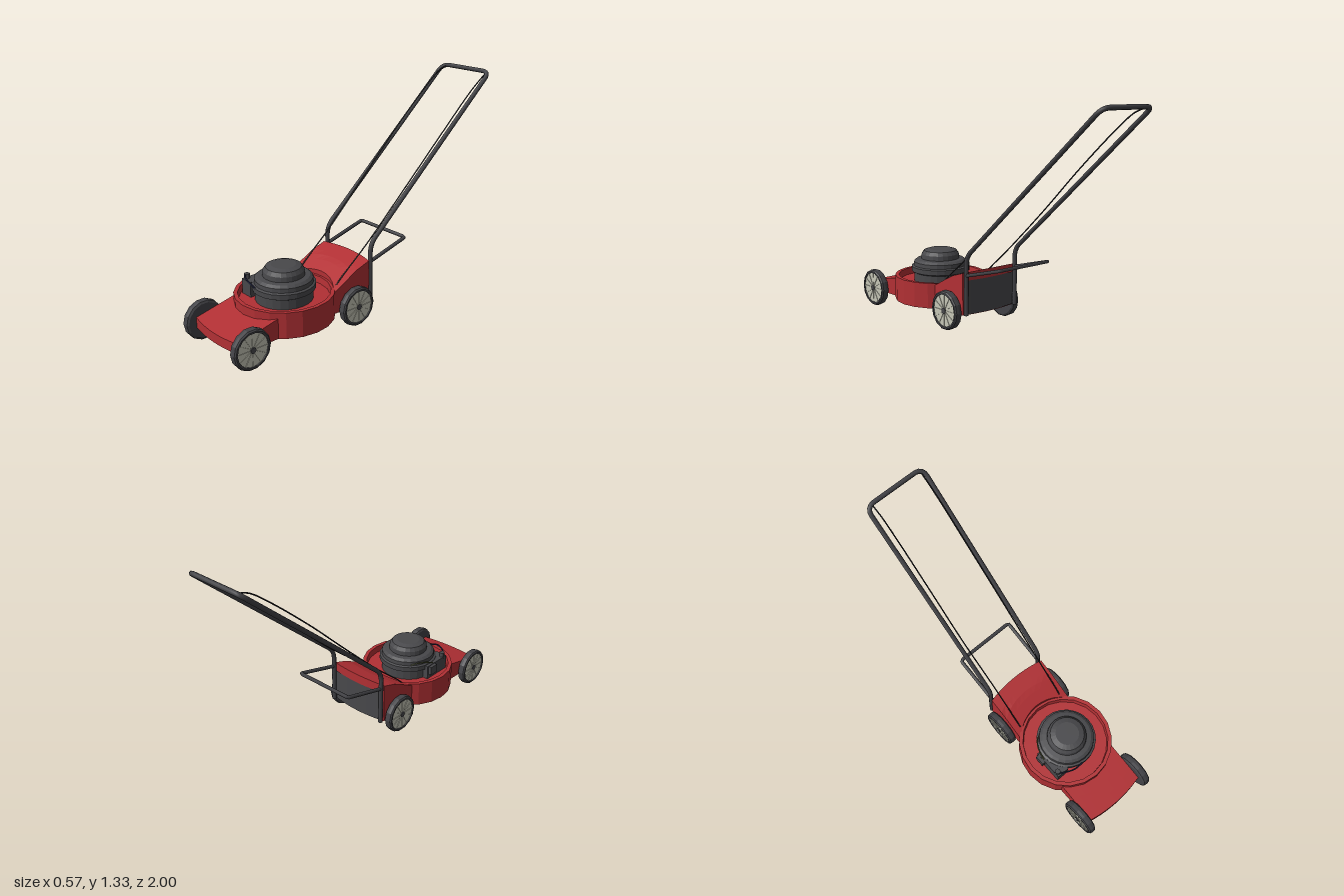
import * as THREE from 'three';

const mat = (name, color, flat = true) => {
  const m = new THREE.MeshStandardMaterial({ color, flatShading: flat, side: THREE.DoubleSide });
  m.name = name;
  return m;
};

export function createModel() {
  const red = mat('red paint', 0xb23034);
  const grey = mat('dark grey metal', 0x48484b);
  const rubber = mat('tyre rubber', 0x434347);
  const tubeGrey = mat('handle grey', 0x424246, false);
  const cream = mat('cream wheel', 0xc6c6b6);
  const black = mat('black cable', 0x222224, false);
  const navy = mat('navy wire', 0x20243f, false);
  const olive = mat('olive wire', 0x5a6038, false);

  const model = new THREE.Group();
  model.name = 'lawnMower';
  const add = (name, geo, m, x = 0, y = 0, z = 0, parent = model) => {
    const mesh = new THREE.Mesh(geo, m);
    mesh.name = name;
    mesh.position.set(x, y, z);
    parent.add(mesh);
    return mesh;
  };
  const v = (p) => new THREE.Vector3(...p);
  const lathe = (pts, n) => new THREE.LatheGeometry(pts.map((p) => new THREE.Vector2(...p)), n);
  const box = (x, y, z) => new THREE.BoxGeometry(x, y, z);

  // Tube along a polyline with rounded corners
  const bentTube = (pts, bend, radius, sides, segments) => {
    const P = pts.map(v), path = new THREE.CurvePath();
    let from = P[0];
    for (let i = 1; i < P.length - 1; i++) {
      const a = P[i].clone().add(P[i - 1].clone().sub(P[i]).setLength(bend));
      const b = P[i].clone().add(P[i + 1].clone().sub(P[i]).setLength(bend));
      path.add(new THREE.LineCurve3(from, a));
      path.add(new THREE.QuadraticBezierCurve3(a, P[i], b));
      from = b;
    }
    path.add(new THREE.LineCurve3(from, P[P.length - 1]));
    return new THREE.TubeGeometry(path, segments, radius, sides);
  };
  const wire = (pts, radius) =>
    new THREE.TubeGeometry(new THREE.CatmullRomCurve3(pts.map(v)), 40, radius, 5);

  // Open-bottomed hood lofted across x from side profiles
  const CZ = 0.485;
  const hood = (inner, outer, top, bottom) => {
    const N = 10, K = 6, rows = [], tri = [];
    for (let i = 0; i <= N; i++) {
      const x = -0.2 + (0.4 * i) / N, a = inner(x), b = outer(x);
      const row = [[x, bottom, a]];
      for (let k = 0; k <= K; k++) {
        const z = a + ((b - a) * k) / K;
        row.push([x, top(z), z]);
      }
      row.push([x, bottom, b]);
      rows.push(row);
    }
    for (let i = 0; i < N; i++)
      for (let k = 0; k < K + 2; k++) {
        const a = rows[i][k], b = rows[i + 1][k], c = rows[i + 1][k + 1], d = rows[i][k + 1];
        tri.push(a, b, c, a, c, d);
      }
    for (const r of [rows[0], rows[N]])
      for (let k = 1; k < K + 2; k++) tri.push(r[0], r[k], r[k + 1]);
    const g = new THREE.BufferGeometry();
    g.setAttribute('position', new THREE.Float32BufferAttribute(tri.flat(), 3));
    g.computeVertexNormals();
    return g;
  };
  const ring = (x) => Math.sqrt(0.275 * 0.275 - x * x);
  const bow = (x) => 0.022 * (x / 0.2) ** 2;
  const rearTop = (z) => (z > 0.12 ? 0.325 - (z - 0.12) * 0.53 : 0.36 - (z - 0.01) * 0.32);

  // Deck: round cutting housing with recessed floor, front and rear hoods
  add('deckHousing', lathe([[0.285, 0.093], [0.285, 0.246], [0.262, 0.246], [0.258, 0.205], [0, 0.205]], 20), red, 0, 0, CZ);
  add('deckInnerWall', lathe([[0.285, 0.093], [0.262, 0.093], [0.262, 0.21]], 20), red, 0, 0, CZ);
  add('frontHood', hood((x) => CZ + ring(x), (x) => 0.962 - bow(x), (z) => 0.21 - (z - 0.69) * 0.22, 0.093), red);
  add('rearHood', hood((x) => CZ - ring(x), (x) => 0.003 + bow(x), rearTop, 0.105), red);

  // Rear guard panel following the bowed back
  const panel = new THREE.PlaneGeometry(0.37, 0.2, 10, 1).rotateY(Math.PI);
  const pp = panel.attributes.position;
  for (let i = 0; i < pp.count; i++) pp.setZ(i, -0.003 + bow(pp.getX(i)));
  panel.computeVertexNormals();
  add('rearPanel', panel, grey, 0, 0.21, 0);

  // Engine: stacked round covers
  add('engine', lathe([[0.165, 0.2], [0.165, 0.262], [0.18, 0.27], [0.18, 0.3], [0.167, 0.306], [0.165, 0.33],
    [0.148, 0.343], [0.12, 0.347], [0.117, 0.375], [0.102, 0.397], [0.07, 0.407], [0, 0.407]], 24), grey, 0, 0, 0.487);
  add('carburettor', box(0.08, 0.09, 0.19), grey, -0.155, 0.252, 0.54);
  add('airFilter', box(0.035, 0.055, 0.06), grey, -0.196, 0.265, 0.485);
  add('fuelCap', new THREE.CylinderGeometry(0.016, 0.016, 0.04, 10), grey, -0.18, 0.305, 0.61);
  add('sparkWire', wire([[-0.19, 0.31, 0.6], [-0.17, 0.322, 0.63], [-0.1, 0.325, 0.665], [-0.03, 0.303, 0.665]], 0.005), navy);
  add('throttleWire', wire([[-0.19, 0.3, 0.5], [-0.18, 0.325, 0.44], [-0.15, 0.325, 0.39], [-0.12, 0.31, 0.37]], 0.004), olive);

  // Blade and shaft under the deck
  add('bladeShaft', new THREE.CylinderGeometry(0.015, 0.015, 0.1, 10), grey, 0, 0.16, CZ);
  add('blade', box(0.5, 0.008, 0.035), grey, 0, 0.115, CZ);

  // Wheels: the cream face points outward
  const tyreGeo = lathe([[0, -0.025], [0.105, -0.025], [0.116, -0.018], [0.118, 0], [0.116, 0.018], [0.108, 0.025], [0.098, 0.025], [0.096, 0.017]], 14).rotateZ(-Math.PI / 2);
  const rimGeo = new THREE.CylinderGeometry(0.098, 0.098, 0.004, 14).rotateZ(Math.PI / 2);
  const hubGeo = new THREE.CylinderGeometry(0.018, 0.018, 0.014, 10).rotateZ(Math.PI / 2);
  for (const side of [-1, 1])
    for (const z of [0.882, 0.143]) {
      const wheel = new THREE.Group();
      wheel.name = (z > 0.5 ? 'front' : 'rear') + (side > 0 ? 'Left' : 'Right') + 'Wheel';
      wheel.position.set(side * 0.225, 0.118, z);
      if (side < 0) wheel.rotation.y = Math.PI;
      add('tyre', tyreGeo, rubber, 0, 0, 0, wheel);
      add('rim', rimGeo, cream, 0.017, 0, 0, wheel);
      add('hub', hubGeo, grey, 0.019, 0, 0, wheel);
      for (let i = 0; i < 6; i++)
        add('spoke', box(0.004, 0.19, 0.006), cream, 0.02, 0, 0, wheel).rotation.x = (i * Math.PI) / 6;
      model.add(wheel);
    }

  // Push handle: one bent tube
  const X = 0.19, R = 0.0135;
  const half = [[X, 0.11, 0.005], [X, 0.45, 0.005], [X, 1.318, -0.988]];
  const mirror = (pts) => [...pts, ...pts.map(([x, y, z]) => [-x, y, z]).reverse()];
  add('pushHandle', bentTube(mirror(half), 0.055, R, 8, 200), tubeGrey);
  for (const s of [-1, 1])
    add('handleFoot', new THREE.CylinderGeometry(R, R, 0.006, 8), tubeGrey, s * X, 0.11, 0.005);

  // Rear support bar
  add('supportBar', bentTube(mirror([[X, 0.342, 0.005], [X, 0.418, -0.277]]), 0.012, 0.011, 6, 60), tubeGrey);

  // Control cables running up the handle
  add('rightCable', wire([[-0.158, 0.25, 0.25], [-0.158, 0.29, 0.21], [-0.156, 0.46, 0.01], [-0.162, 0.72, -0.27],
    [-0.16, 0.97, -0.53], [-0.156, 1.2, -0.79], [-0.155, 1.29, -0.91], [-0.155, 1.312, -0.98]], 0.004), black);
  add('leftCable', wire([[0.163, 0.25, 0.25], [0.165, 0.29, 0.21], [0.168, 0.45, 0.01], [0.17, 0.72, -0.29],
    [0.17, 1.0, -0.6], [0.17, 1.22, -0.85], [0.17, 1.312, -0.98]], 0.004), black);

  return model;
}
